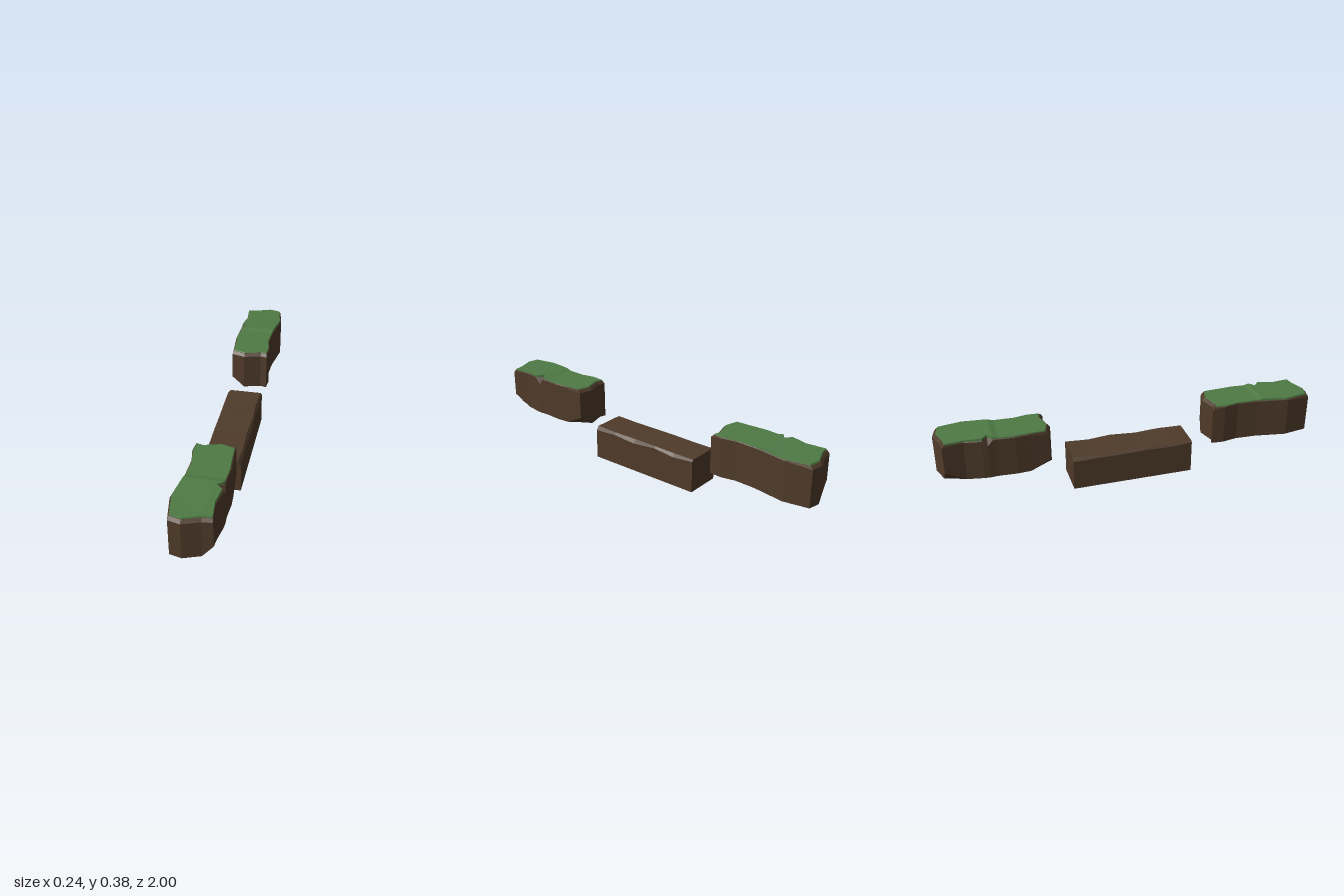
import * as THREE from 'three';

const soil = new THREE.MeshStandardMaterial({ color: 0x4f3b2a, flatShading: true });
const grass = new THREE.MeshStandardMaterial({ color: 0x4f7a45, flatShading: true });

// Skin stacked rings of [x, y, z] (clockwise from above) and close both ends.
// Each cap is split into the given groups of ring indices.
function loft(rings, groups) {
  const pos = [];
  const tri = (a, b, c) => pos.push(...a, ...b, ...c);
  const n = rings[0].length;
  for (let r = 0; r < rings.length - 1; r++) {
    for (let i = 0; i < n; i++) {
      const j = (i + 1) % n, lo = rings[r], up = rings[r + 1];
      tri(lo[i], up[i], up[j]);
      tri(lo[i], up[j], lo[j]);
    }
  }
  const cap = (ring, facesUp) => groups.forEach((g) => {
    const pts = g.map((i) => ring[i]);
    const flat = pts.map((p) => new THREE.Vector2(p[0], p[2]));
    THREE.ShapeUtils.triangulateShape(flat, []).forEach(([a, b, c]) => {
      const [A, B, C] = [pts[a], pts[b], pts[c]];
      const ny = (B[2] - A[2]) * (C[0] - A[0]) - (B[0] - A[0]) * (C[2] - A[2]);
      if ((ny > 0) === facesUp) tri(A, B, C);
      else tri(A, C, B);
    });
  });
  cap(rings[0], false);
  cap(rings[rings.length - 1], true);
  const geo = new THREE.BufferGeometry();
  geo.setAttribute('position', new THREE.Float32BufferAttribute(pos, 3));
  geo.computeVertexNormals();
  return geo;
}

function part(name, geo, material) {
  const mesh = new THREE.Mesh(geo, material);
  mesh.name = name;
  return mesh;
}

// Plan of an end platform: [x, z]
const plan = [
  [-0.1, 0.435], [-0.065, 0.445], [0.025, 0.42], [0.095, 0.44], [0.1, 0.54],
  [0.105, 0.61], [0.1, 0.69], [0.1, 0.72], [0.102, 0.745], [0.1, 0.775],
  [0.085, 0.86], [0.095, 0.965], [0.045, 0.97], [-0.04, 1.0], [-0.1, 0.985],
  [-0.122, 0.855], [-0.1, 0.72], [-0.095, 0.69], [-0.09, 0.58], [-0.105, 0.5],
];
const NOTCH = 8, BACK_CORNER = 3, FRONT_CORNER = 11;
const groups = [
  [0, 1, 2, 3, 4, 5, 6, 17, 18, 19],
  [6, 7, 16, 17],
  [7, 8, 9, 10, 11, 12, 13, 14, 15, 16],
];

// Plan scaled about the platform centre, with the notch cut in
function inset(sx, sz, notchX, height) {
  return plan.map(([x, z], i) => [
    i === NOTCH ? notchX : x * sx, height(z), 0.71 + (z - 0.71) * sz,
  ]);
}

function platform(name) {
  const group = new THREE.Group();
  group.name = name;

  // Underside with two cut-off corners on one side
  const bottom = plan.map(([x, z], i) => {
    if (i === BACK_CORNER) return [0.062, 0.153, 0.48];
    if (i === FRONT_CORNER) return [0.065, 0.153, 0.915];
    return [x, 0.152, z];
  });
  const low = plan.map(([x, z], i) => [
    x, i === FRONT_CORNER ? 0.212 : i === BACK_CORNER ? 0.2 : 0.154, z,
  ]);
  // Shoulder of the wall, lower at the ends and at the notch
  const shoulder = plan.map(([x, z], i) => {
    const end = z > 0.95 || z < 0.45;
    return [x, i === NOTCH ? 0.33 : end ? 0.348 : 0.36, z];
  });
  const rim = inset(0.97, 0.955, 0.068, () => 0.363);
  group.add(part('rockBody', loft([bottom, low, shoulder, rim], groups), soil));

  // Turf with a small step across the middle
  const step = (z) => (z < 0.7 ? 0.368 : z < 0.8 ? 0.375 : 0.371);
  const turf = [
    inset(0.965, 0.95, 0.066, () => 0.36),
    inset(0.945, 0.935, 0.063, step),
  ];
  group.add(part('grassTop', loft(turf, groups), grass));
  return group;
}

// Lower plank: cross-sections along z with softly worn top edges
function bridgeBlock() {
  const zs = [-0.323, -0.2, -0.08, 0.06, 0.19, 0.323];
  const wear = [0.008, 0.014, 0.008, 0.016, 0.01, 0.016];
  const tops = [0.182, 0.178, 0.184, 0.179, 0.182, 0.182];
  const rings = zs.map((z, i) => {
    const w = wear[i], t = tops[i], v = wear[5 - i];
    return [
      [-0.098, 0, z], [0.095, 0, z], [0.095, t - w * 1.2, z],
      [0.095 - w, t, z], [-0.098 + v, t, z], [-0.098, t - v * 1.2, z],
    ];
  });
  // Loft stacks along y, so turn the sections upright and back
  const upright = rings.map((r) => r.map(([x, y, z]) => [x, z, -y]).reverse());
  const geo = loft(upright, [[0, 1, 2, 3, 4, 5]]);
  geo.rotateX(Math.PI / 2);
  return part('lowerBlock', geo, soil);
}

export function createModel() {
  const model = new THREE.Group();
  model.name = 'steppingPlatforms';
  const front = platform('frontPlatform');
  const back = platform('backPlatform');
  back.rotation.y = Math.PI;
  model.add(front, back, bridgeBlock());
  return model;
}
